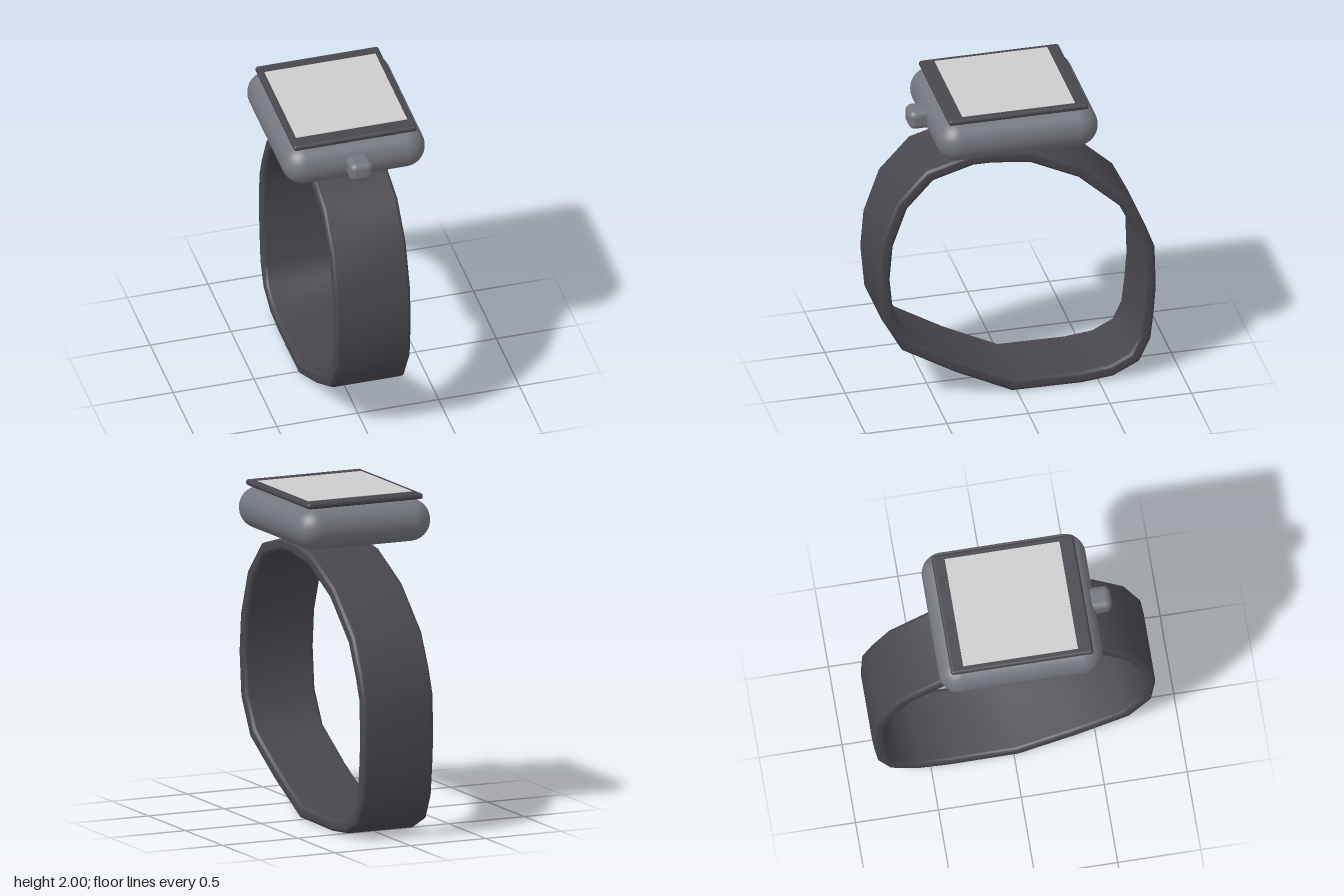
import * as THREE from 'three';
import { RoundedBoxGeometry } from 'three/addons/geometries/RoundedBoxGeometry.js';

const material = (name, color, side = THREE.FrontSide) => {
  const m = new THREE.MeshStandardMaterial({ color, side });
  m.name = name;
  return m;
};

// Outer outline of the strap as [z, y], from the top towards the back
const OUTLINE = [
  [0.28, 1.66], [0.15, 1.66], [-0.10, 1.63], [-0.42, 1.475], [-0.69, 1.225], [-0.79, 1.02],
  [-0.845, 0.87], [-0.853, 0.60], [-0.84, 0.43], [-0.82, 0.25], [-0.75, 0.10], [-0.59, 0.02],
  [-0.40, 0.0], [0.03, 0.005], [0.38, 0.18], [0.705, 0.375], [0.83, 0.60], [0.855, 0.87],
  [0.835, 1.11], [0.74, 1.38], [0.555, 1.58],
].map(([z, y]) => new THREE.Vector2(z, y));

// Rounded rectangle as [x, depth] with the outer face at depth 0
function strapSection(halfWidth, thickness, r, steps) {
  const pts = [];
  const corners = [[1, 1], [-1, 1], [-1, -1], [1, -1]];
  corners.forEach(([sx, sy], q) => {
    for (let k = 0; k <= steps; k++) {
      const a = (q + k / steps) * Math.PI / 2;
      pts.push([
        sx * (halfWidth - r) + r * Math.cos(a),
        sy * (thickness / 2 - r) + r * Math.sin(a) - thickness / 2,
      ]);
    }
  });
  return pts;
}

// Closed sweep of the section round the outline, mitred at each bend
function strapGeometry() {
  const section = strapSection(0.233, 0.075, 0.025, 4);
  const n = OUTLINE.length, m = section.length;
  const normal = (a, b) => {
    const t = b.clone().sub(a).normalize();
    return new THREE.Vector2(t.y, -t.x);
  };
  const positions = [], index = [];
  for (let i = 0; i < n; i++) {
    const p = OUTLINE[i];
    const n0 = normal(OUTLINE[(i + n - 1) % n], p);
    const n1 = normal(p, OUTLINE[(i + 1) % n]);
    const mitre = n0.clone().add(n1).normalize();
    mitre.divideScalar(mitre.dot(n0));
    for (let j = 0; j < m; j++) {
      const [x, d] = section[j];
      positions.push(x, p.y + mitre.y * d, p.x + mitre.x * d);
      const a = i * m + j, b = i * m + (j + 1) % m;
      const c = ((i + 1) % n) * m + j, e = ((i + 1) % n) * m + (j + 1) % m;
      index.push(a, c, b, b, c, e);
    }
  }
  const g = new THREE.BufferGeometry();
  g.setAttribute('position', new THREE.Float32BufferAttribute(positions, 3));
  g.setIndex(index);
  g.computeVertexNormals();
  return g;
}

export function createModel() {
  const group = new THREE.Group();
  const metal = material('grey metal', 0x74767e);
  const dark = material('dark rubber', 0x48474d);
  const pale = material('pale screen', 0xcccccc);

  const add = (name, geometry, mat, x = 0, y = 0, z = 0) => {
    const mesh = new THREE.Mesh(geometry, mat);
    mesh.name = name;
    mesh.position.set(x, y, z);
    group.add(mesh);
  };

  // Strap loop
  add('strap', strapGeometry(), dark);

  // Pill-edged case with the front button
  add('case', new RoundedBoxGeometry(0.88, 0.256, 0.986, 8, 0.127), metal, 0, 1.834, 0.026);
  add('crown', new RoundedBoxGeometry(0.147, 0.122, 0.16, 5, 0.04), metal, -0.002, 1.841, 0.54);

  // Dark bezel and screen on top
  add('bezel', new RoundedBoxGeometry(0.762, 0.036, 0.858, 4, 0.016), dark, 0, 1.98, 0.027);
  add('screen', new THREE.BoxGeometry(0.688, 0.004, 0.692), pale, 0, 1.998, 0.021);

  return group;
}
